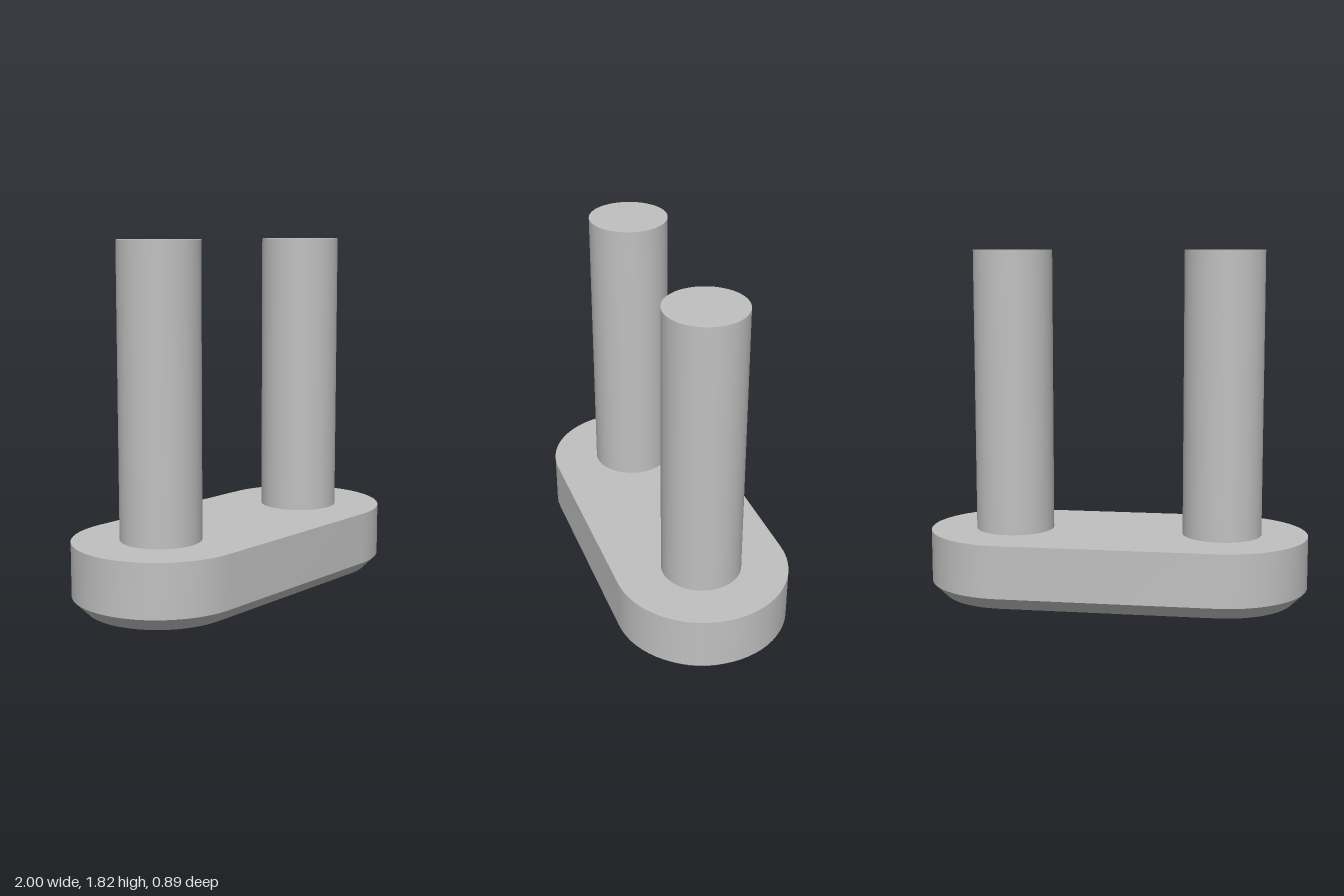
import * as THREE from 'three';
import { toCreasedNormals } from 'three/addons/utils/BufferGeometryUtils.js';

const PIN_X = 0.553, PIN_R = 0.206, TOP = 1.82;
const BASE_R = 0.447, FOOT_R = 0.377, BASE_TOP = 0.345, CHAMFER = 0.07;
const SLOT_DEPTH = 0.15;

// Rounded-end outline as (x, z) points
function stadium(r, n = 32) {
  const pts = [];
  for (const [cx, start] of [[PIN_X, -Math.PI / 2], [-PIN_X, Math.PI / 2]]) {
    for (let i = 0; i <= n; i++) {
      const a = start + (Math.PI * i) / n;
      pts.push(new THREE.Vector2(cx + r * Math.cos(a), r * Math.sin(a)));
    }
  }
  return pts;
}

function rectangle(x0, x1, z) {
  return [[x0, -z], [x1, -z], [x1, z], [x0, z]].map(p => new THREE.Vector2(...p));
}

// Band of faces between two outlines at two heights
function band(low, y0, high, y1) {
  const pos = [];
  low.forEach((a, i) => {
    const j = (i + 1) % low.length;
    const a1 = low[j], b = high[i], b1 = high[j];
    pos.push(a.x, y0, a.y, b.x, y1, b.y, a1.x, y0, a1.y);
    pos.push(b.x, y1, b.y, b1.x, y1, b1.y, a1.x, y0, a1.y);
  });
  const geo = new THREE.BufferGeometry();
  geo.setAttribute('position', new THREE.Float32BufferAttribute(pos, 3));
  return toCreasedNormals(geo, 0.5);
}

// Flat face facing up or down
function face(pts, y, up, holes = []) {
  const shape = new THREE.Shape(pts);
  shape.holes = holes.map(h => new THREE.Path(h));
  return new THREE.ShapeGeometry(shape).rotateX(up ? -Math.PI / 2 : Math.PI / 2).translate(0, y, 0);
}

export function createModel() {
  const model = new THREE.Group();
  const metal = new THREE.MeshStandardMaterial({ color: 0xc0c0c0 });
  metal.name = 'grey metal';
  const add = (name, geo) => {
    const mesh = new THREE.Mesh(geo, metal);
    mesh.name = name;
    model.add(mesh);
    return mesh;
  };

  // Base plate with a chamfered foot
  const outer = stadium(BASE_R), foot = stadium(FOOT_R);
  const slots = [rectangle(0.2, 0.907, 0.049), rectangle(-0.907, -0.2, 0.049)];
  add('baseTop', face(outer, BASE_TOP, true));
  add('baseSide', band(outer, CHAMFER, outer, BASE_TOP));
  add('baseChamfer', band(foot, 0, outer, CHAMFER));
  add('baseUnderside', face(foot, 0, false, slots));

  // Slots cut into the underside
  for (const slot of slots) {
    const inward = [...slot].reverse();
    add('slotWalls', band(inward, 0, inward, SLOT_DEPTH));
    add('slotCeiling', face(slot, SLOT_DEPTH, false));
  }

  // Upright pins
  const height = TOP - BASE_TOP;
  for (const side of [-1, 1]) {
    const pin = add(side > 0 ? 'leftPin' : 'rightPin', new THREE.CylinderGeometry(PIN_R, PIN_R, height, 64));
    pin.position.set(side * PIN_X, BASE_TOP + height / 2, 0);
  }
  return model;
}
